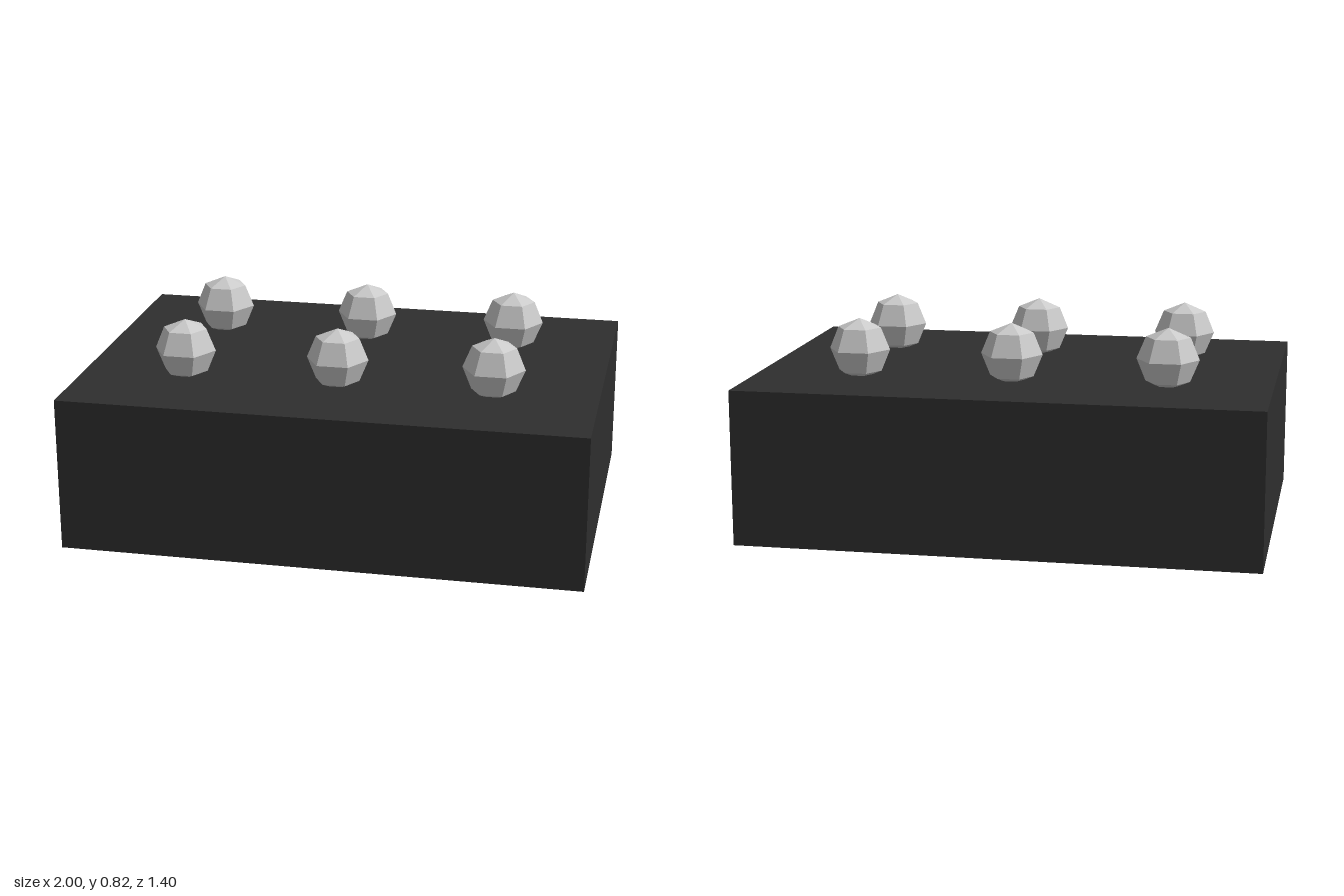
import * as THREE from 'three';

export function createModel() {
  const model = new THREE.Group();

  // Dark solid block
  const block = new THREE.Mesh(
    new THREE.BoxGeometry(2, 0.6, 1.4),
    new THREE.MeshStandardMaterial({ color: 0x2e2e2e, flatShading: true })
  );
  block.name = 'block';
  block.position.y = 0.3;
  model.add(block);

  // Two rows of three faceted studs, sunk slightly into the top
  const studs = new THREE.Group();
  studs.name = 'studs';
  const studGeometry = new THREE.SphereGeometry(0.12, 6, 4);
  const studMaterial = new THREE.MeshStandardMaterial({ color: 0xcccccc, flatShading: true });
  for (const z of [-0.3, 0.3]) {
    for (const x of [-0.6, 0, 0.6]) {
      const stud = new THREE.Mesh(studGeometry, studMaterial);
      stud.name = 'stud';
      stud.position.set(x, 0.7, z);
      studs.add(stud);
    }
  }
  model.add(studs);

  return model;
}
